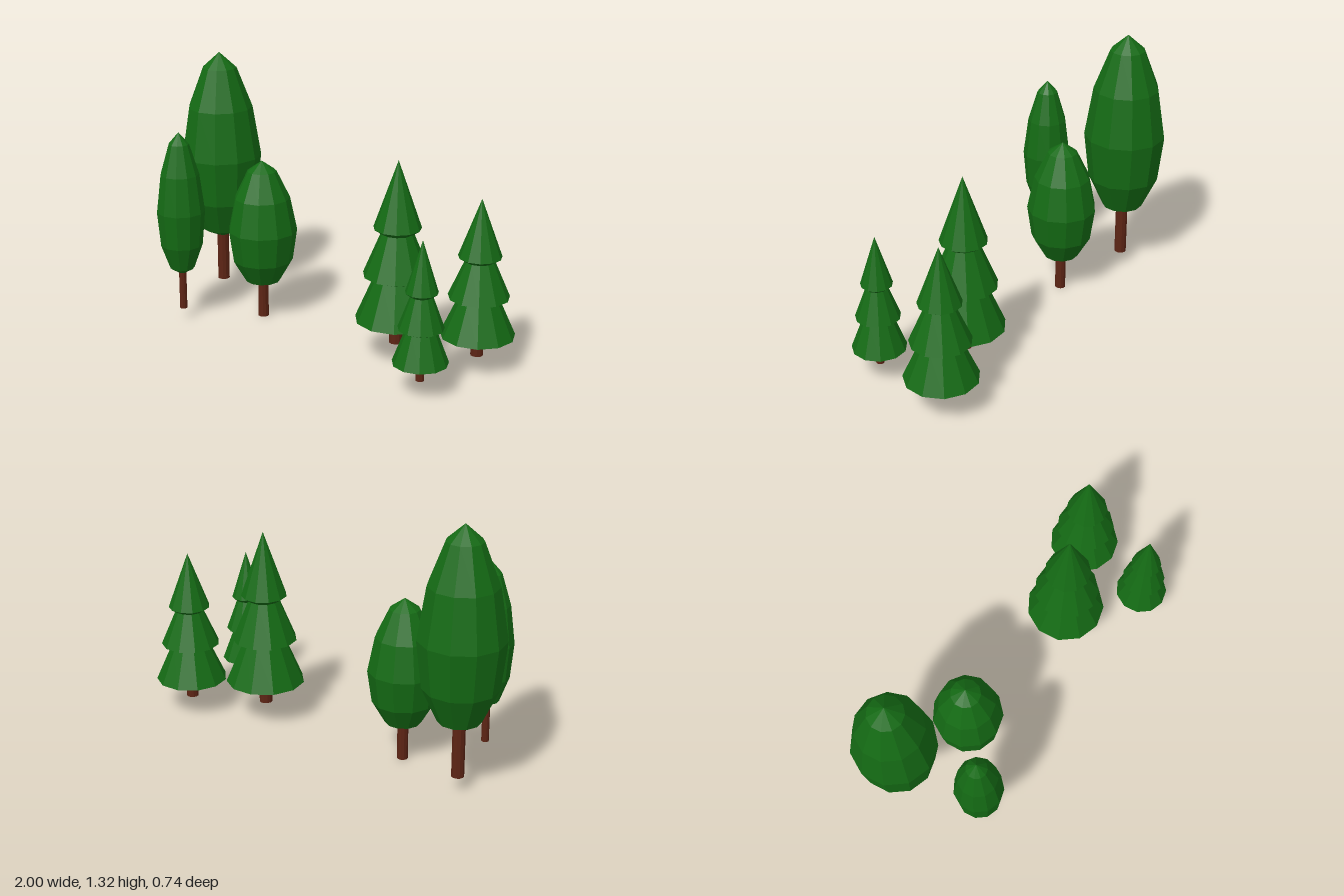
import * as THREE from 'three';

const SIDES = 11;
const leaf = new THREE.MeshStandardMaterial({ color: 0x146a14, flatShading: true });
const bark = new THREE.MeshStandardMaterial({ color: 0x5c2414, flatShading: true });

// Crown profiles from bottom to tip: [radius, height], both as fractions
const ROUND = [[0, 0], [0.5, 0.05], [0.87, 0.218], [1, 0.455], [0.8, 0.713], [0.42, 0.92], [0, 1]];
const TIERED = [
  [0, 0], [1, 0.053],
  [0.56, 0.3], [0.82, 0.325],
  [0.39, 0.574], [0.58, 0.604],
  [0, 1],
];

function tree(name, profile, { x, z, ground, bottom, top, radius, trunk }) {
  const group = new THREE.Group();
  group.name = name;
  group.position.set(x, 0, z);

  // Faceted crown
  const height = top - bottom;
  const points = profile.map(([r, h]) => new THREE.Vector2(r * radius, bottom + h * height));
  const crown = new THREE.Mesh(new THREE.LatheGeometry(points, SIDES), leaf);
  crown.name = 'crown';

  // Trunk, reaching a little way into the crown
  const length = bottom + 0.06 * height - ground;
  const stem = new THREE.Mesh(new THREE.CylinderGeometry(trunk, trunk, length, SIDES), bark);
  stem.name = 'trunk';
  stem.position.y = ground + length / 2;

  group.add(crown, stem);
  return group;
}

export function createModel() {
  const model = new THREE.Group();
  model.name = 'treeClusters';

  // Rounded trees on the right
  const rounded = [
    { x: -0.795, z: -0.168, ground: 0.077, bottom: 0.315, top: 1.32, radius: 0.21, trunk: 0.031 },
    { x: -0.7, z: 0.252, ground: 0.06, bottom: 0.245, top: 1.0, radius: 0.123, trunk: 0.019 },
    { x: -0.404, z: -0.037, ground: 0, bottom: 0.165, top: 0.84, radius: 0.177, trunk: 0.027 },
  ];
  rounded.forEach((t, i) => model.add(tree(`roundedTree${i + 1}`, ROUND, t)));

  // Three-tiered conifers on the left
  const conifers = [
    { x: 0.44, z: -0.034, ground: 0.077, bottom: 0.155, top: 1.0, radius: 0.201, trunk: 0.033 },
    { x: 0.816, z: -0.176, ground: 0.064, bottom: 0.13, top: 0.85, radius: 0.181, trunk: 0.031 },
    { x: 0.766, z: 0.231, ground: 0.064, bottom: 0.12, top: 0.75, radius: 0.133, trunk: 0.02 },
  ];
  conifers.forEach((t, i) => model.add(tree(`conifer${i + 1}`, TIERED, t)));

  return model;
}
